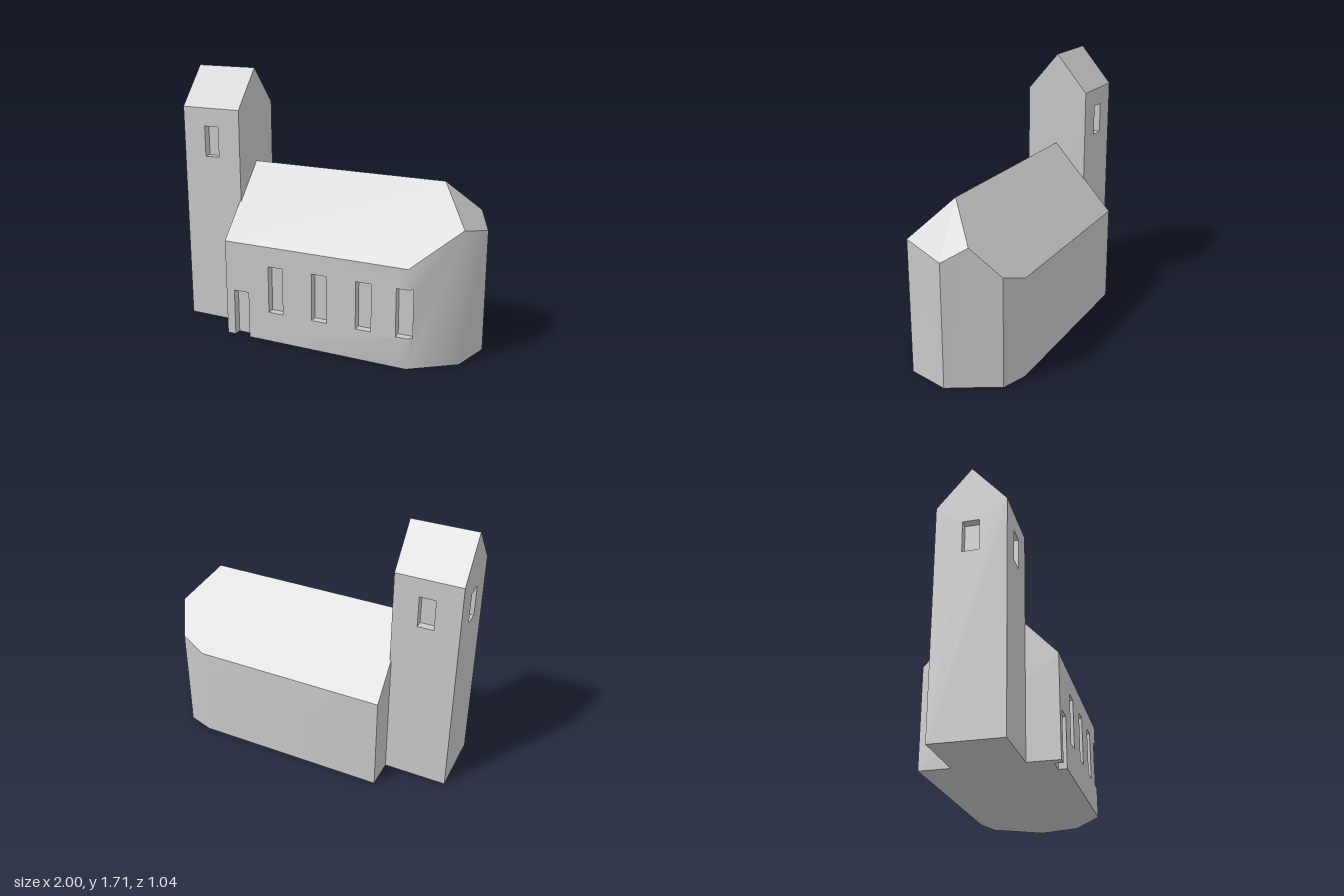
import * as THREE from 'three';
import { mergeGeometries, toCreasedNormals } from 'three/addons/utils/BufferGeometryUtils.js';

const stone = new THREE.MeshStandardMaterial({ color: 0xc8c8c8 });
stone.name = 'stone grey';

const shapeOf = (pts) => new THREE.Shape(pts.map(([x, y]) => new THREE.Vector2(x, y)));
const dist = (p, q) => Math.hypot(q[0] - p[0], q[1] - p[1]);
const rect = (x0, x1, y0, y1) => [[x0, y0], [x0, y1], [x1, y1], [x1, y0]];

// Upright panel over the plan line p -> q, outlined in (distance along, height)
function panel(p, q, outline, holes = []) {
  const shape = shapeOf(outline);
  holes.forEach((h) => shape.holes.push(shapeOf(h)));
  const geo = new THREE.ShapeGeometry(shape);
  const pos = geo.attributes.position;
  const len = dist(p, q);
  for (let i = 0; i < pos.count; i++) {
    const t = pos.getX(i) / len;
    pos.setXYZ(i, p[0] + (q[0] - p[0]) * t, pos.getY(i), p[1] + (q[1] - p[1]) * t);
  }
  geo.computeVertexNormals();
  return geo;
}

const plain = (p, q, y0, y1, y2 = y1) =>
  panel(p, q, [[0, y0], [dist(p, q), y0], [dist(p, q), y2], [0, y1]]);

// Level surface from a plan outline, facing up or down
function slab(pts, y, up) {
  const geo = new THREE.ShapeGeometry(shapeOf(pts.map(([x, z]) => [x, up ? -z : z])));
  return geo.rotateX(up ? -Math.PI / 2 : Math.PI / 2).translate(0, y, 0);
}

// Flat polygon through 3D points
function facet(pts) {
  const geo = new THREE.BufferGeometry().setFromPoints(pts.map((p) => new THREE.Vector3(...p)));
  const index = [];
  for (let i = 1; i < pts.length - 1; i++) index.push(0, i, i + 1);
  geo.setIndex(index);
  const flat = geo.toNonIndexed();
  flat.computeVertexNormals();
  return flat;
}

function add(group, name, geos, crease) {
  let geo = geos.length > 1 ? mergeGeometries(geos) : geos[0];
  if (crease) geo = toCreasedNormals(geo, THREE.MathUtils.degToRad(crease));
  const mesh = new THREE.Mesh(geo, stone);
  mesh.name = name;
  group.add(mesh);
}

// Sunken opening: plan runs outer left, inner left, inner right, outer right, then any outer corner
function recess(group, name, plan, y0, y1) {
  const geos = [0, 1, 2].map((i) => plain(plan[i], plan[i + 1], y0, y1));
  if (y0 > 0) geos.push(slab(plan, y0, true));
  geos.push(slab(plan, y1, false));
  add(group, name, geos);
}

const DEPTH = 0.05;

function buildNave() {
  const nave = new THREE.Group();
  nave.name = 'nave';
  const mid = 0.009, eave = 0.64, ridge = 1.085;

  // Plan corners, from the front left around the apse to the back left
  const A = [-0.568, -0.4], B = [-0.568, 0.418], C = [0.6825, 0.418], D = [0.955, 0.222];
  const E = [1.0275, -0.044], F = [0.947, -0.182], G = [0.857, -0.347], H = [0.689, -0.4];
  const yD = 0.857, yE = 0.79, yF = 0.877, yG = 0.698;

  // Front wall with door notch, three windows and a fourth that turns the corner
  const at = (x) => x - B[0];
  const win = [0.2, 0.51], door = [-0.51, -0.403], doorTop = 0.31;
  const windows = [[-0.255, -0.153], [0.051, 0.153], [0.349, 0.451]];
  const L = dist(B, C), cornerLeft = 0.611, wrap = 0.036;
  const front = [
    [0, 0], [at(door[0]), 0], [at(door[0]), doorTop], [at(door[1]), doorTop], [at(door[1]), 0],
    [L, 0], [L, win[0]], [at(cornerLeft), win[0]], [at(cornerLeft), win[1]], [L, win[1]],
    [L, eave], [0, eave],
  ];
  const cd = dist(C, D);
  const corner = [[0, 0], [cd, 0], [cd, yD], [0, eave],
    [0, win[1]], [wrap, win[1]], [wrap, win[0]], [0, win[0]]];
  const ab = dist(A, B);
  add(nave, 'naveWalls', [
    panel(B, C, front, windows.map(([a, b]) => rect(at(a), at(b), ...win))),
    panel(C, D, corner),
    plain(D, E, 0, yD, yE), plain(E, F, 0, yE, yF), plain(F, G, 0, yF, yG),
    plain(G, H, 0, yG, eave), plain(H, A, 0, eave),
    panel(A, B, [[0, 0], [ab, 0], [ab, eave], [ab / 2, ridge], [0, eave]]),
  ], 41);

  // Window and door recesses
  const z = B[1], back = z - DEPTH;
  const plan = ([a, b]) => [[a, z], [a, back], [b, back], [b, z]];
  windows.forEach((w) => recess(nave, 'naveWindow', plan(w), ...win));
  recess(nave, 'door', plan(door), 0, doorTop);
  const turn = [C[0] + (D[0] - C[0]) * wrap / cd, C[1] + (D[1] - C[1]) * wrap / cd];
  recess(nave, 'cornerWindow',
    [[cornerLeft, z], [cornerLeft, back], [turn[0], back], turn, C], ...win);

  // Roof slopes and apse hip
  const v = ([x, zz], y) => [x, y, zz];
  const R0 = [A[0], ridge, mid], R1 = [0.763, ridge, mid];
  add(nave, 'naveRoof', [
    facet([v(B, eave), v(C, eave), v(D, yD), R1, R0]),
    facet([R0, R1, v(F, yF), v(G, yG), v(H, eave), v(A, eave)]),
    facet([R1, v(D, yD), v(E, yE), v(F, yF)]),
  ]);
  add(nave, 'naveFloor', [slab([B, ...plan(door), C, D, E, F, G, H, A], 0, false)]);
  return nave;
}

function buildTower() {
  const tower = new THREE.Group();
  tower.name = 'tower';
  const x0 = -0.977, x1 = -0.558, z0 = -0.207, z1 = 0.222;
  const eave = 1.455, ridge = 1.705, mid = (z0 + z1) / 2;
  const corners = [[x0, z1], [x1, z1], [x1, z0], [x0, z0]];
  const y0 = 1.135, y1 = 1.335, half = 0.051;
  const walls = [];

  // Four walls: gables on the ends, a window on every side but the nave side
  corners.forEach((p, i) => {
    const q = corners[(i + 1) % 4];
    const len = dist(p, q);
    const gable = i % 2 === 1;
    const outline = [[0, 0], [len, 0], [len, eave], ...(gable ? [[len / 2, ridge]] : []), [0, eave]];
    const hasWindow = i !== 1;
    const s0 = len / 2 - half, s1 = len / 2 + half;
    walls.push(panel(p, q, outline, hasWindow ? [rect(s0, s1, y0, y1)] : []));
    if (!hasWindow) return;
    const dx = (q[0] - p[0]) / len, dz = (q[1] - p[1]) / len;
    const pt = (s, d) => [p[0] + dx * s + dz * d, p[1] + dz * s - dx * d];
    recess(tower, 'towerWindow', [pt(s0, 0), pt(s0, DEPTH), pt(s1, DEPTH), pt(s1, 0)], y0, y1);
  });
  add(tower, 'towerWalls', walls);

  const R0 = [x0, ridge, mid], R1 = [x1, ridge, mid];
  add(tower, 'towerRoof', [
    facet([[x0, eave, z1], [x1, eave, z1], R1, R0]),
    facet([R0, R1, [x1, eave, z0], [x0, eave, z0]]),
  ]);
  add(tower, 'towerFloor', [slab(corners, 0, false)]);
  return tower;
}

export function createModel() {
  const church = new THREE.Group();
  church.name = 'church';
  church.add(buildNave(), buildTower());
  church.rotation.y = 0.193; // the building stands at a slight angle
  return church;
}
